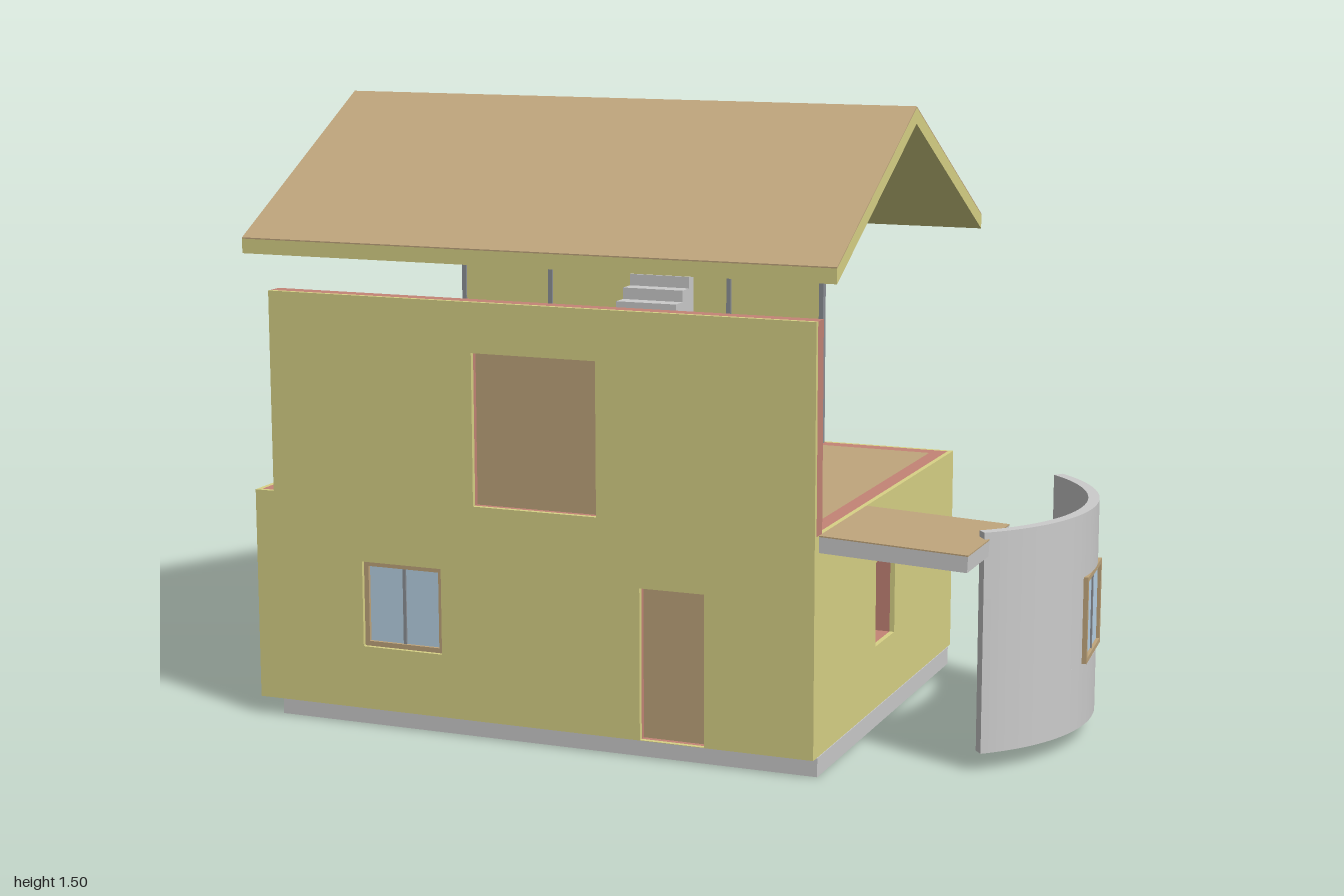
import * as THREE from 'three';

const mat = (color) => new THREE.MeshStandardMaterial({ color, side: THREE.DoubleSide });
const yellow = mat(0xd8d286), tan = mat(0xbfa57c), pink = mat(0xc48476);
const grey = mat(0xcccccc), steel = mat(0x8c9096), glass = mat(0xb9d3e6);

function add(parent, name, geo, material) {
  const m = new THREE.Mesh(geo, material);
  m.name = name;
  parent.add(m);
  return m;
}

// Box given by its minimum and maximum on each axis
function box(parent, name, material, x0, x1, y0, y1, z0, z1) {
  const m = add(parent, name, new THREE.BoxGeometry(x1 - x0, y1 - y0, z1 - z0), material);
  m.position.set((x0 + x1) / 2, (y0 + y1) / 2, (z0 + z1) / 2);
  return m;
}

const rect = (x0, x1, y0, y1) => [[x0, y0], [x1, y0], [x1, y1], [x0, y1]].map((p) => new THREE.Vector2(...p));

// Flat panel with rectangular openings, extruded from z0 to z1
function panel(parent, name, material, outline, holes, z0, z1) {
  const shape = new THREE.Shape(rect(...outline));
  holes.forEach((h) => shape.holes.push(new THREE.Path(rect(...h))));
  const geo = new THREE.ExtrudeGeometry(shape, { depth: z1 - z0, bevelEnabled: false });
  geo.translate(0, 0, z0);
  return add(parent, name, geo, material);
}

// Two-pane window centred on the origin in x and z
function makeWindow(w, y0, y1) {
  const g = new THREE.Group();
  g.name = 'window';
  const f = 0.012, h = w / 2;
  panel(g, 'windowFrame', tan, [-h, h, y0, y1], [[-h + f, h - f, y0 + f, y1 - f]], -0.012, 0.012);
  box(g, 'windowGlass', glass, -h + f, h - f, y0 + f, y1 - f, -0.004, 0.004);
  box(g, 'windowMullion', steel, -0.004, 0.004, y0 + f, y1 - f, -0.008, 0.008);
  return g;
}

// Curved wall piece between two angles (degrees from +x towards +z)
function arcWall(parent, a0, a1, y0, y1) {
  const R = 0.465, r = 0.438, n = Math.max(4, Math.round((a1 - a0) / 2.5));
  const ring = (rad, i) => {
    const a = THREE.MathUtils.degToRad(a0 + ((a1 - a0) * i) / n);
    return new THREE.Vector2(rad * Math.cos(a), rad * Math.sin(a));
  };
  const pts = [];
  for (let i = 0; i <= n; i++) pts.push(ring(R, i));
  for (let i = n; i >= 0; i--) pts.push(ring(r, i));
  const geo = new THREE.ExtrudeGeometry(new THREE.Shape(pts), { depth: y1 - y0, bevelEnabled: false });
  geo.rotateX(Math.PI / 2);
  geo.translate(0, y1, 0);
  add(parent, 'curvedWall', geo, grey);
}

// Profile given as [z, y] points, extruded along x
function profileX(parent, name, material, pts, x0, x1) {
  const shape = new THREE.Shape(pts.map(([z, y]) => new THREE.Vector2(-z, y)));
  const geo = new THREE.ExtrudeGeometry(shape, { depth: x1 - x0, bevelEnabled: false });
  geo.rotateY(Math.PI / 2);
  geo.translate(x0, 0, 0);
  return add(parent, name, geo, material);
}

export function createModel() {
  const model = new THREE.Group();
  const house = new THREE.Group();
  house.name = 'house';
  house.rotation.y = 0.1;
  house.position.set(-0.2, 0, -0.005);
  model.add(house);

  const L = -0.745, R = 0.694, F = 0.55, B = -0.54, G = 0.045, T = 0.565, top = 1.055;
  const skin = 0.012, thick = 0.05;

  // Base slab with a small square pit
  const slab = panel(house, 'baseSlab', grey, [-0.696, 0.696, -0.527, 0.513], [[0.265, 0.395, 0.18, 0.29]], 0, G);
  slab.rotation.x = -Math.PI / 2;
  box(house, 'pitCover', grey, 0.25, 0.41, G - 0.004, G + 0.01, -0.31, -0.16);

  // Ground floor walls: coloured outer skin and inner core
  const win = [-0.457, -0.246, 0.2, 0.41], door = [0.266, 0.427, G + 0.001, 0.41];
  const backWin = [-0.08, 0.1, 0.2, 0.41];
  panel(house, 'frontSkin', yellow, [L, R, G, T], [win, door], F - skin, F);
  panel(house, 'frontCore', pink, [L + skin, R - skin, G, T], [win, door], F - thick, F - skin);
  panel(house, 'backSkin', yellow, [L, R, G, T], [backWin], B, B + skin);
  panel(house, 'backCore', pink, [L + skin, R - skin, G, T], [backWin], B + skin, B + thick);
  const sideOpening = [-0.1, 0.05, 0.2, 0.41];
  [[L, L + skin, L + skin, L + thick, []], [R - skin, R, R - thick, R - skin, [sideOpening]]].forEach(([a, b, c, d, holes]) => {
    panel(house, 'sideSkin', yellow, [skin - F, -B - skin, G, T], holes, a, b).rotation.y = Math.PI / 2;
    panel(house, 'sideCore', pink, [thick - F, -B - thick, G, T], holes, c, d).rotation.y = Math.PI / 2;
  });

  // Floors
  box(house, 'groundFloor', tan, L + thick, R - thick, G + 0.001, G + 0.012, B + thick, F - thick);
  box(house, 'upperFloor', tan, L + thick, R - thick, T - 0.03, T, B + thick, F - thick);

  // Upper front wall with its wide door
  const bigDoor = [-0.158, 0.158, T + 0.004, 0.935];
  panel(house, 'upperFrontSkin', yellow, [L + thick, R, T, top], [bigDoor], F - skin, F);
  panel(house, 'upperFrontCore', pink, [L + thick, R, T, top], [bigDoor], F - thick, F - skin);

  // Doors and flat windows, set back in their openings
  box(house, 'upperDoor', tan, ...bigDoor, F - 0.045, F - 0.025);
  box(house, 'frontDoor', tan, ...door, F - 0.045, F - 0.025);
  [[win, F - 0.022], [backWin, B + 0.022]].forEach(([o, z]) => {
    const w = makeWindow(o[1] - o[0], o[2], o[3]);
    w.position.set((o[0] + o[1]) / 2, 0, z);
    house.add(w);
  });

  // Porch roof, sloping down and away from the wall
  const porch = new THREE.Group();
  porch.name = 'porchRoof';
  porch.position.set(R, T, 0);
  porch.rotation.z = -0.045;
  box(porch, 'porchSlab', grey, 0, 0.349, -0.04, -0.003, 0.18, 0.522);
  box(porch, 'porchTop', tan, 0, 0.349, -0.003, 0, 0.18, 0.522);
  house.add(porch);

  // Detached curved bay wall, built around its window
  const bay = new THREE.Group();
  bay.name = 'curvedBay';
  bay.position.set(0.734, 0, 0);
  arcWall(bay, -50, 50, G, 0.2);
  arcWall(bay, -50, 50, 0.41, T);
  arcWall(bay, -50, -18, 0.2, 0.41);
  arcWall(bay, 8, 50, 0.2, 0.41);
  const bayWindow = makeWindow(0.212, 0.2, 0.41);
  const a = THREE.MathUtils.degToRad(-5);
  bayWindow.position.set(0.452 * Math.cos(a), 0, 0.452 * Math.sin(a));
  bayWindow.rotation.y = Math.PI / 2 - a;
  bay.add(bayWindow);
  house.add(bay);

  // Upper back screen: four columns and two rows of panels in a thin frame
  const sx0 = -0.697, sx1 = 0.34, sz = -0.513;
  box(house, 'screenPanels', yellow, sx0, sx1, T, top, sz - 0.004, sz + 0.004);
  for (let i = 0; i <= 4; i++) {
    const x = sx0 + ((sx1 - sx0) * i) / 4;
    box(house, 'screenPost', steel, x - 0.006, x + 0.006, T, top, sz - 0.01, sz + 0.01);
  }
  [T + 0.005, 0.81, top - 0.005].forEach((y) =>
    box(house, 'screenRail', steel, sx0, sx1, y - 0.005, y + 0.005, sz - 0.01, sz + 0.01));

  // Chimney on the back of the screen
  box(house, 'chimney', grey, -0.19, -0.02, T, 1.025, -0.582, sz - 0.004);

  // L-shaped stair: a flight along x, a landing, then a flight towards the back
  const rise = 0.0306, run = 0.047;
  for (let i = 0; i < 7; i++) {
    const x0 = -0.519 + i * run;
    box(house, 'lowerStep', grey, x0, x0 + run, T, T + rise * (i + 1), -0.24, -0.082);
  }
  box(house, 'landing', grey, -0.19, -0.02, T, 0.81, -0.24, -0.082);
  const pts = [[-0.24, T]];
  for (let i = 0; i < 6; i++) {
    const z = -0.24 - i * run, y = 0.81 + rise * (i + 1);
    pts.push([z, y], [i === 5 ? -0.508 : z - run, y]);
  }
  pts.push([-0.508, T]);
  profileX(house, 'upperFlight', grey, pts, -0.19, -0.02);

  // Railing running to the front wall
  const rx = -0.337;
  [0.18, 0.355].forEach((z) => box(house, 'railPost', steel, rx - 0.005, rx + 0.005, T, 0.74, z - 0.005, z + 0.005));
  box(house, 'handrail', steel, rx - 0.005, rx + 0.005, 0.732, 0.742, 0.175, F - thick);

  // Raised gable roof with a thin covering on top
  const E = 0.573;
  profileX(house, 'roof', yellow, [[-E, 1.145], [-E, 1.18], [0, 1.493], [E, 1.18], [E, 1.145], [0, 1.455]], -0.749, 0.749);
  profileX(house, 'roofCovering', tan, [[-E, 1.18], [-E, 1.183], [0, 1.496], [E, 1.183], [E, 1.18], [0, 1.493]], -0.749, 0.749);

  return model;
}
